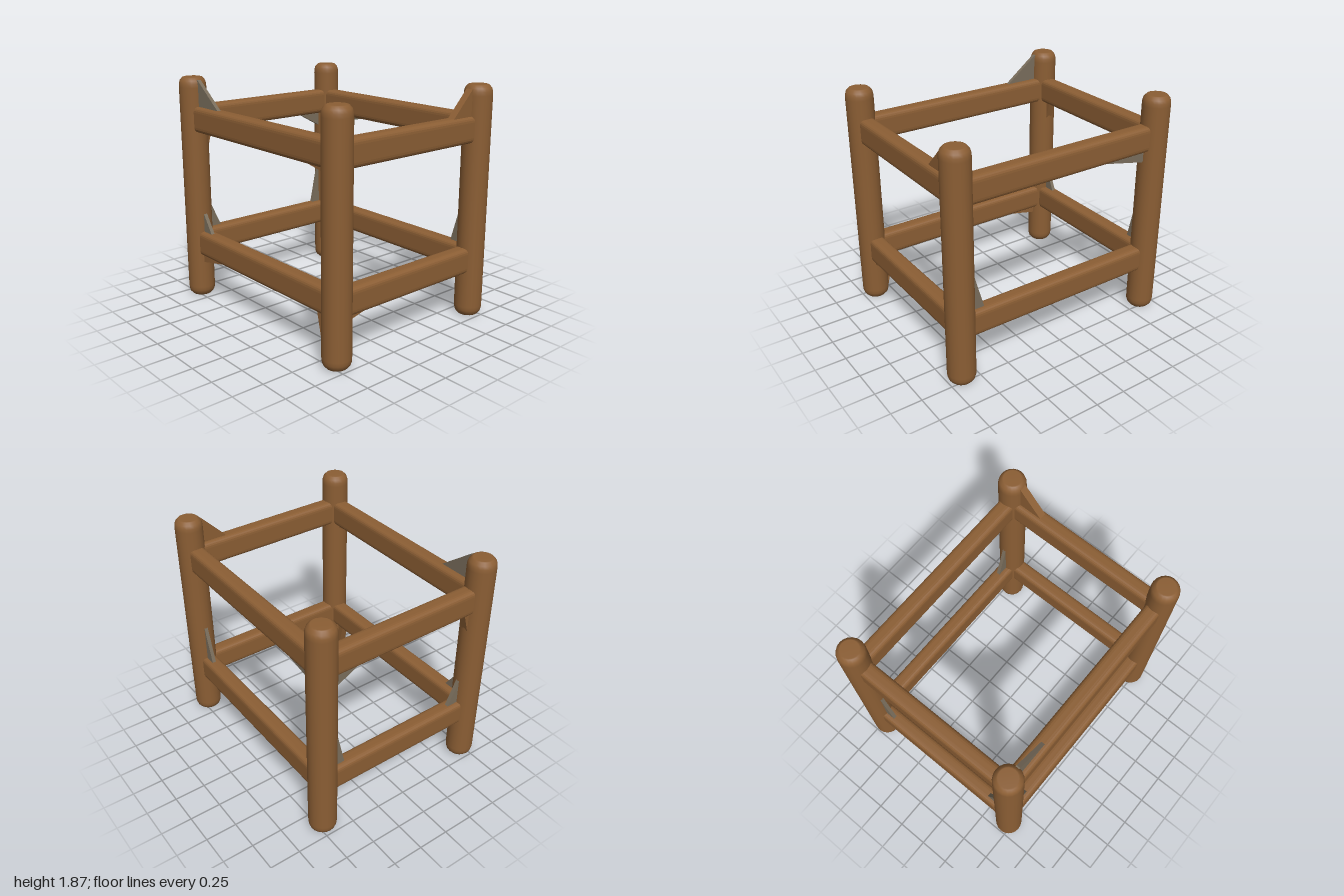
import * as THREE from 'three';

const POST_X = 0.89, POST_Z = 0.71, HEIGHT = 1.87, R = 0.11;

export function createModel() {
  const group = new THREE.Group();
  const wood = new THREE.MeshStandardMaterial({ color: 0x8b5e34 });
  wood.name = 'brown wood';
  const web = new THREE.MeshStandardMaterial({ color: 0x7a6e5c });
  web.name = 'grey brown web';

  function add(geometry, material, name, x, y, z, turn = 0) {
    const mesh = new THREE.Mesh(geometry, material);
    mesh.name = name;
    mesh.position.set(x, y, z);
    mesh.rotation.y = turn;
    group.add(mesh);
  }

  // Round corner posts with softened ends
  const half = [[0, 0], [0.07, 0], [0.08, 0.003], [0.1, 0.025], [0.108, 0.05], [R, 0.08]];
  const profile = [
    ...half,
    ...half.map(([r, y]) => [r, HEIGHT - y]).reverse(),
  ].map(([r, y]) => new THREE.Vector2(r, y));
  const postGeometry = new THREE.LatheGeometry(profile, 20);
  for (const sx of [-1, 1]) {
    for (const sz of [-1, 1]) add(postGeometry, wood, 'cornerPost', sx * POST_X, 0, sz * POST_Z);
  }

  // Rails: a rounded upright section swept from post to post
  function railGeometry(length) {
    const w = 0.064, h = 0.105, r = 0.045;
    const s = new THREE.Shape();
    s.moveTo(-w + r, -h);
    s.lineTo(w - r, -h);
    s.quadraticCurveTo(w, -h, w, -h + r);
    s.lineTo(w, h - r);
    s.quadraticCurveTo(w, h, w - r, h);
    s.lineTo(-w + r, h);
    s.quadraticCurveTo(-w, h, -w, h - r);
    s.lineTo(-w, -h + r);
    s.quadraticCurveTo(-w, -h, -w + r, -h);
    const g = new THREE.ExtrudeGeometry(s, { depth: length, bevelEnabled: false, curveSegments: 5 });
    return g.translate(0, 0, -length / 2);
  }
  const longRail = railGeometry(2 * POST_X);
  const sideRail = railGeometry(2 * POST_Z);
  for (const y of [0.475, 1.533]) {
    for (const s of [-1, 1]) {
      add(longRail, wood, s > 0 ? 'frontRail' : 'backRail', 0, y, s * 0.703, Math.PI / 2);
      add(sideRail, wood, 'sideRail', s * 0.882, y, 0);
    }
  }

  // Irregular corner webs: post signs, direction, height on post, height on rail, reach, material
  const webs = [
    [-1, 1, 'x', 1.85, 1.63, 0.28, web],
    [-1, 1, 'x', 0.74, 0.57, 0.11, web],
    [-1, 1, 'x', 0.31, 0.38, 0.33, wood],
    [1, 1, 'x', 0.05, 0.38, 0.07, wood],
    [1, 1, 'x', 1.40, 1.435, 0.18, wood],
    [-1, -1, 'x', 1.34, 1.435, 0.45, web],
    [1, -1, 'x', 0.9, 0.57, 0.09, web],
    [1, -1, 'z', 1.84, 1.63, 0.2, wood],
    [-1, -1, 'z', 1.31, 1.435, 0.22, web],
    [-1, -1, 'z', 0.95, 0.57, 0.08, web],
    [-1, 1, 'z', 0.8, 0.57, 0.1, web],
    [-1, 1, 'z', 1.28, 1.44, 0.04, wood],
    [1, 1, 'z', 0.34, 0.38, 0.15, wood],
  ];
  for (const [sx, sz, axis, yPost, yRail, reach, material] of webs) {
    const shape = new THREE.Shape([
      new THREE.Vector2(0.06, yPost),
      new THREE.Vector2(R - 0.005, yPost),
      new THREE.Vector2(R + reach, yRail),
      new THREE.Vector2(0.06, yRail),
    ]);
    const depth = material === wood ? 0.06 : 0.03;
    const g = new THREE.ExtrudeGeometry(shape, { depth, bevelEnabled: false });
    g.translate(0, 0, -depth / 2);
    const turn = axis === 'x' ? (sx > 0 ? Math.PI : 0) : (sz > 0 ? Math.PI / 2 : -Math.PI / 2);
    add(g, material, 'cornerWeb', sx * POST_X, 0, sz * POST_Z, turn);
  }

  return group;
}
